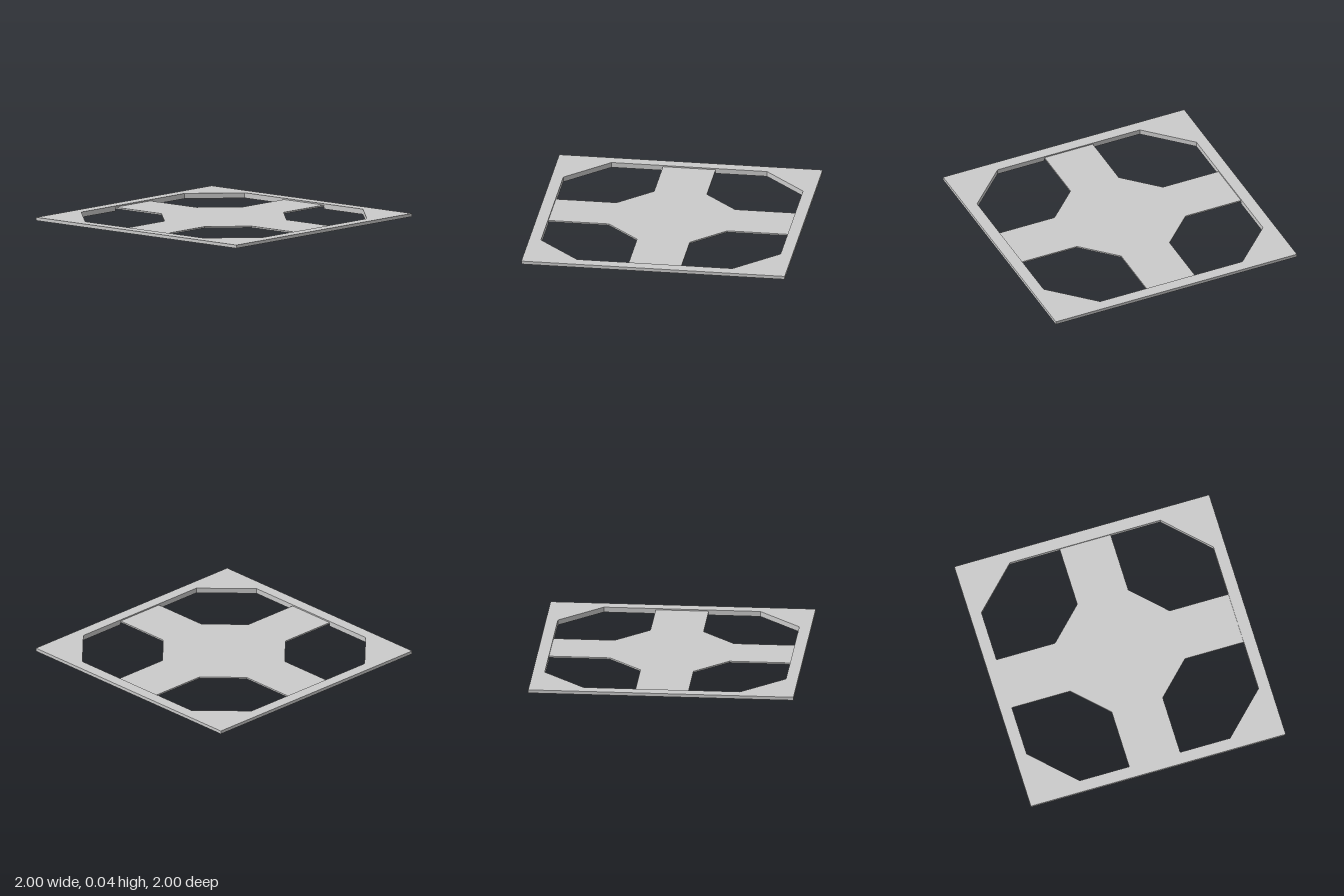
import * as THREE from 'three';

const material = new THREE.MeshStandardMaterial({ color: 0xcccccc, flatShading: true });
const lipMaterial = new THREE.MeshStandardMaterial({ color: 0xcccccc, flatShading: true, side: THREE.DoubleSide });

const RIM = 0.91;    // inner edge of the frame
const CHAMFER = 0.59; // where the corner gussets begin
const ARM = 0.2;     // half width of a cross arm
const HUB = 0.45;    // reach of the hub chamfers

// Repeats one quadrant's points around the four corners
function fourfold(points) {
  const out = [];
  for (let i = 0; i < 4; i++) {
    for (const [x, y] of points) {
      out.push(new THREE.Vector2(x, y).rotateAround(new THREE.Vector2(), i * Math.PI / 2));
    }
  }
  return out;
}

// Flat plate lying between two heights
function plate(name, shape, bottom, top) {
  const geometry = new THREE.ExtrudeGeometry(shape, { depth: top - bottom, bevelEnabled: false });
  geometry.rotateX(-Math.PI / 2).translate(0, bottom, 0);
  const mesh = new THREE.Mesh(geometry, material);
  mesh.name = name;
  return mesh;
}

// Thin wall hanging under one corner of the frame opening
function cornerLip(height) {
  const path = [[RIM, ARM], [RIM, CHAMFER], [CHAMFER, RIM], [ARM, RIM]];
  const positions = [];
  const index = [];
  path.forEach(([x, z], i) => {
    positions.push(x, 0, z, x, height, z);
    if (i > 0) {
      const a = 2 * i - 2;
      index.push(a, a + 2, a + 1, a + 1, a + 2, a + 3);
    }
  });
  const geometry = new THREE.BufferGeometry();
  geometry.setAttribute('position', new THREE.Float32BufferAttribute(positions, 3));
  geometry.setIndex(index);
  geometry.computeVertexNormals();
  return geometry;
}

export function createModel() {
  const group = new THREE.Group();
  group.name = 'crossBracedPanel';

  // Square frame with an octagonal opening
  const frame = new THREE.Shape(fourfold([[1, 1]]));
  frame.holes.push(new THREE.Path(fourfold([[RIM, CHAMFER], [CHAMFER, RIM]])));
  group.add(plate('frame', frame, 0.015, 0.04));

  // Recessed cross with a chamfered hub
  const cross = new THREE.Shape(fourfold([[RIM, ARM], [HUB, ARM], [ARM, HUB], [ARM, RIM]]));
  group.add(plate('cross', cross, 0.018, 0.03));

  // Lips under the four corner openings
  const lipGeometry = cornerLip(0.015);
  for (let i = 0; i < 4; i++) {
    const lip = new THREE.Mesh(lipGeometry, lipMaterial);
    lip.name = 'cornerLip' + (i + 1);
    lip.rotation.y = i * Math.PI / 2;
    group.add(lip);
  }
  return group;
}
